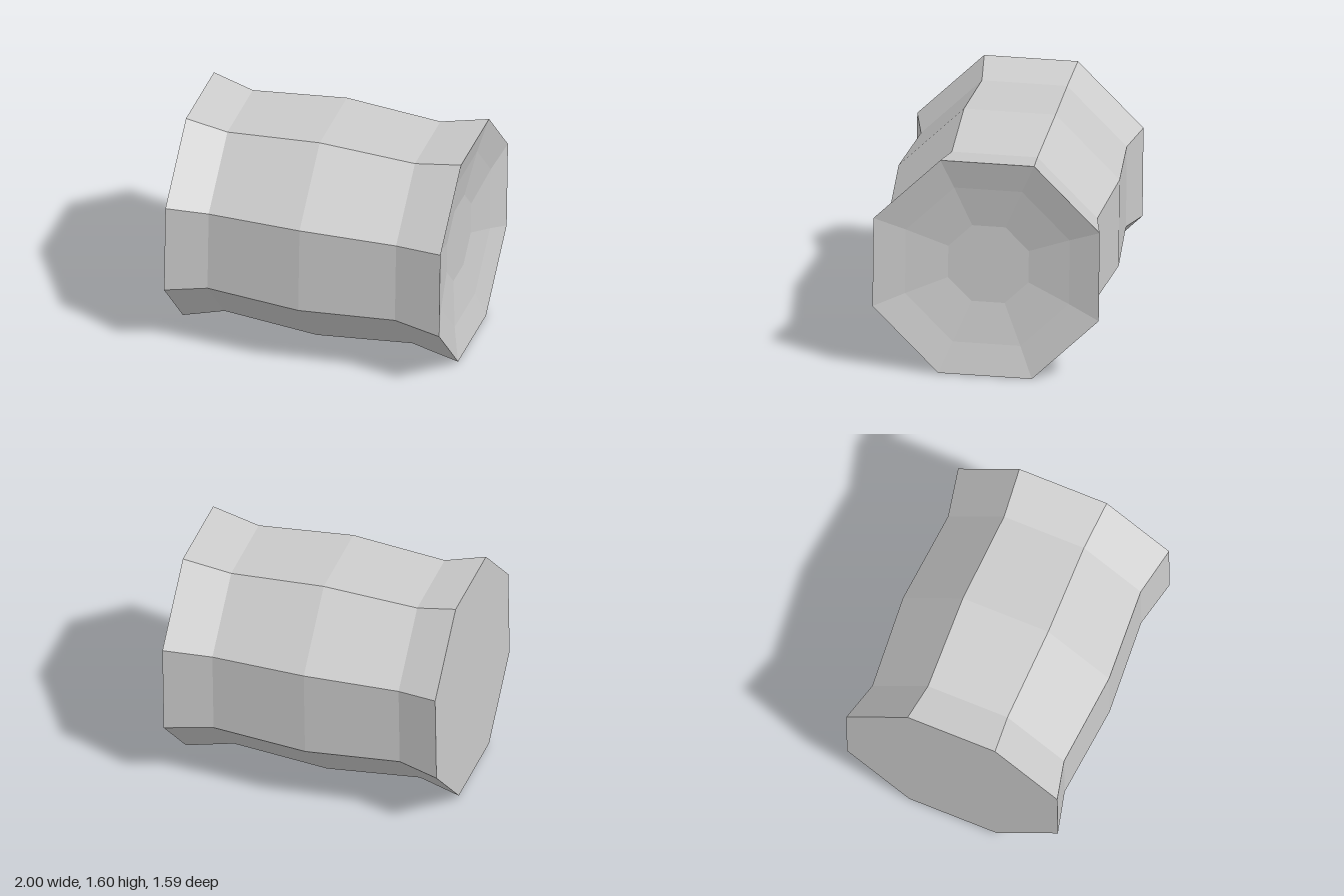
import * as THREE from 'three';

export function createModel() {
  const model = new THREE.Group();
  model.name = 'octagonalBarrel';

  const material = new THREE.MeshStandardMaterial({ color: 0xcccccc, flatShading: true });
  const SIDES = 8;
  const toCorner = 1 / Math.cos(Math.PI / SIDES); // flat-to-flat radius -> corner radius

  // Octagonal solid of revolution along x; profile entries are [x, flat radius]
  function addPart(name, profile) {
    const points = profile.map(([x, r]) => new THREE.Vector2(r * toCorner, x));
    const geometry = new THREE.LatheGeometry(points, SIDES, Math.PI / SIDES);
    geometry.rotateZ(-Math.PI / 2);
    const mesh = new THREE.Mesh(geometry, material);
    mesh.name = name;
    model.add(mesh);
  }

  // Waisted side wall with a swollen middle and flared ends
  addPart('sideWall', [
    [-0.99, 0.787], [-0.70, 0.716], [-0.03, 0.769], [0.65, 0.719], [0.99, 0.787],
  ]);

  // Flat cap on one end
  addPart('flatEnd', [[-0.99, 0], [-0.99, 0.787]]);

  // Shallow dished cap on the other end, stepping in to a flat centre
  addPart('dishedEnd', [[0.99, 0.787], [0.935, 0.57], [0.885, 0.28], [0.885, 0]]);

  // Slight tilt of the whole body
  model.rotation.set(-0.012, -0.004, -0.0105);
  model.position.y = 0.8;
  return model;
}
